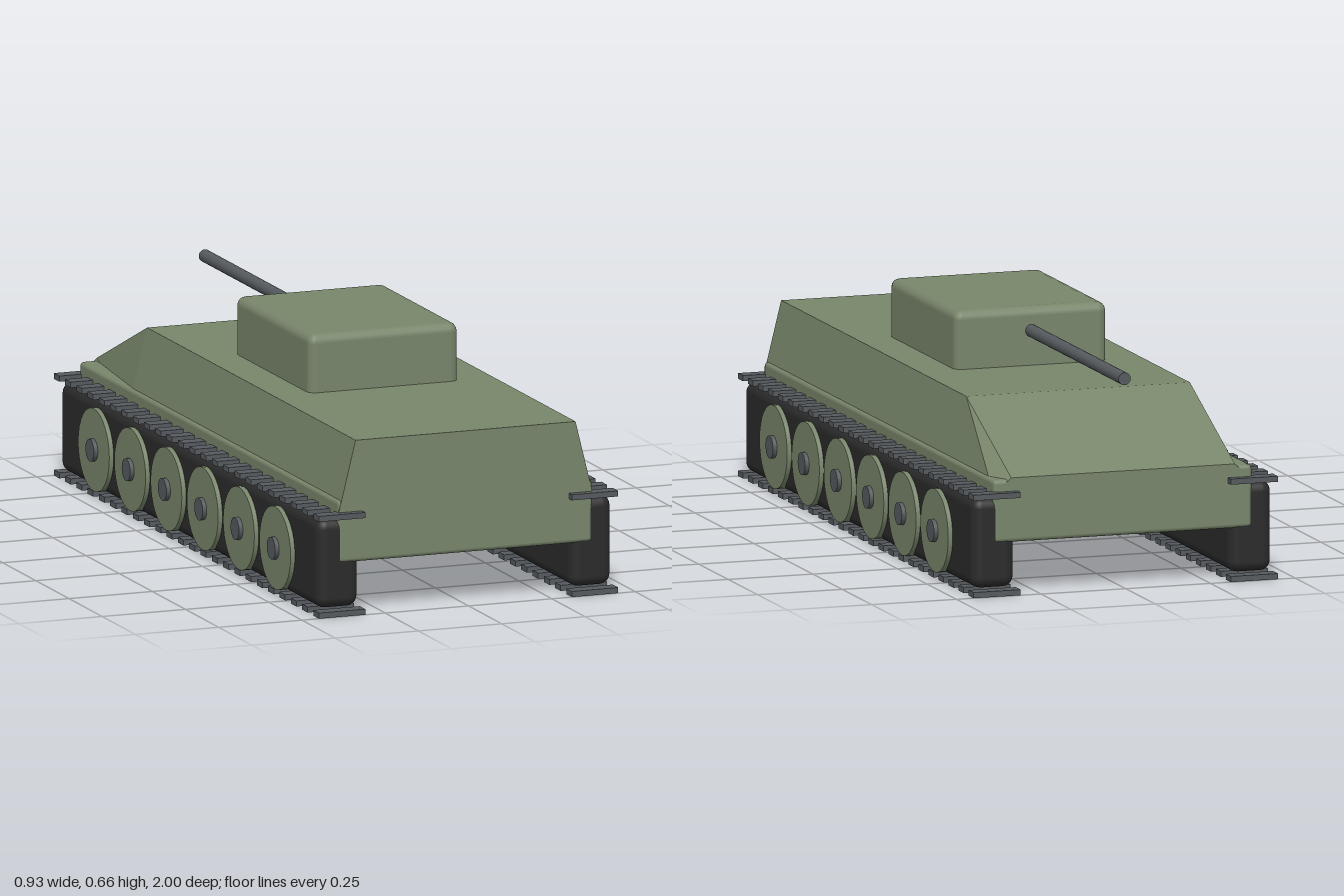
import * as THREE from 'three';
import { RoundedBoxGeometry } from 'three/addons/geometries/RoundedBoxGeometry.js';

export function createModel() {
  const model = new THREE.Group();
  model.name = 'tank';
  const material = (name, color) => {
    const m = new THREE.MeshStandardMaterial({ color });
    m.name = name;
    return m;
  };
  const green = material('olive green paint', 0x78866b);
  const rubber = material('black track', 0x2b2b2b);
  const steel = material('grey steel', 0x565b5f);

  const add = (parent, name, geometry, mat, x = 0, y = 0, z = 0) => {
    const mesh = new THREE.Mesh(geometry, mat);
    mesh.name = name;
    mesh.position.set(x, y, z);
    parent.add(mesh);
    return mesh;
  };

  // Lower hull, with edges showing as narrow ledges above the tracks
  add(model, 'lowerHull', new RoundedBoxGeometry(0.764, 0.178, 1.954, 2, 0.012), green, 0, 0.236, 0);

  // Upper hull: sloped sides, vertical stern and a long sloping nose
  const sections = [[0.977, 0.495], [-0.595, 0.495], [-0.977, 0.33]];
  const rings = sections.map(([z, top]) => [
    [-0.382, 0.285, z], [0.382, 0.285, z], [0.33, top, z], [-0.33, top, z],
  ]);
  const points = [];
  const quad = (a, b, c, d) => points.push(...a, ...b, ...c, ...a, ...c, ...d);
  quad(...rings[0]);
  for (let s = 0; s < 2; s++) {
    for (let i = 0; i < 4; i++) {
      const j = (i + 1) % 4;
      quad(rings[s][j], rings[s][i], rings[s + 1][i], rings[s + 1][j]);
    }
  }
  quad(...[...rings[2]].reverse());
  const upper = new THREE.BufferGeometry();
  upper.setAttribute('position', new THREE.Float32BufferAttribute(points, 3));
  upper.computeVertexNormals();
  add(model, 'upperHull', upper, green);

  // Turret and gun
  add(model, 'turret', new RoundedBoxGeometry(0.45, 0.22, 0.566, 2, 0.026), green, 0, 0.55, 0.083);
  const barrel = new THREE.CylinderGeometry(0.018, 0.018, 0.82, 16).rotateX(Math.PI / 2);
  add(model, 'gunBarrel', barrel, steel, 0, 0.593, -0.58);

  // Tracks, links and road wheels on both sides
  const trackGeo = new RoundedBoxGeometry(0.125, 0.256, 1.95, 3, 0.03);
  const linkGeo = new THREE.BoxGeometry(0.139, 0.016, 0.042);
  const wheelGeo = new THREE.CylinderGeometry(0.118, 0.118, 0.06, 32).rotateZ(Math.PI / 2);
  const hubGeo = new THREE.CylinderGeometry(0.032, 0.032, 0.06, 20).rotateZ(Math.PI / 2);
  const linkCount = 24;
  for (const [side, label] of [[1, 'left'], [-1, 'right']]) {
    const track = new THREE.Group();
    track.name = label + 'Track';
    model.add(track);
    add(track, 'trackBody', trackGeo, rubber, side * 0.3795, 0.147, 0);
    for (let i = 0; i < linkCount; i++) {
      const z = -0.979 + (1.958 * i) / (linkCount - 1);
      for (const y of [0.008, 0.284]) add(track, 'trackLink', linkGeo, steel, side * 0.3795, y, z);
    }
    for (let i = 0; i < 6; i++) {
      const z = (i - 2.5) * 0.2735;
      add(track, 'roadWheel', wheelGeo, green, side * 0.425, 0.138, z);
      add(track, 'wheelHub', hubGeo, steel, side * 0.437, 0.138, z);
    }
  }
  return model;
}
